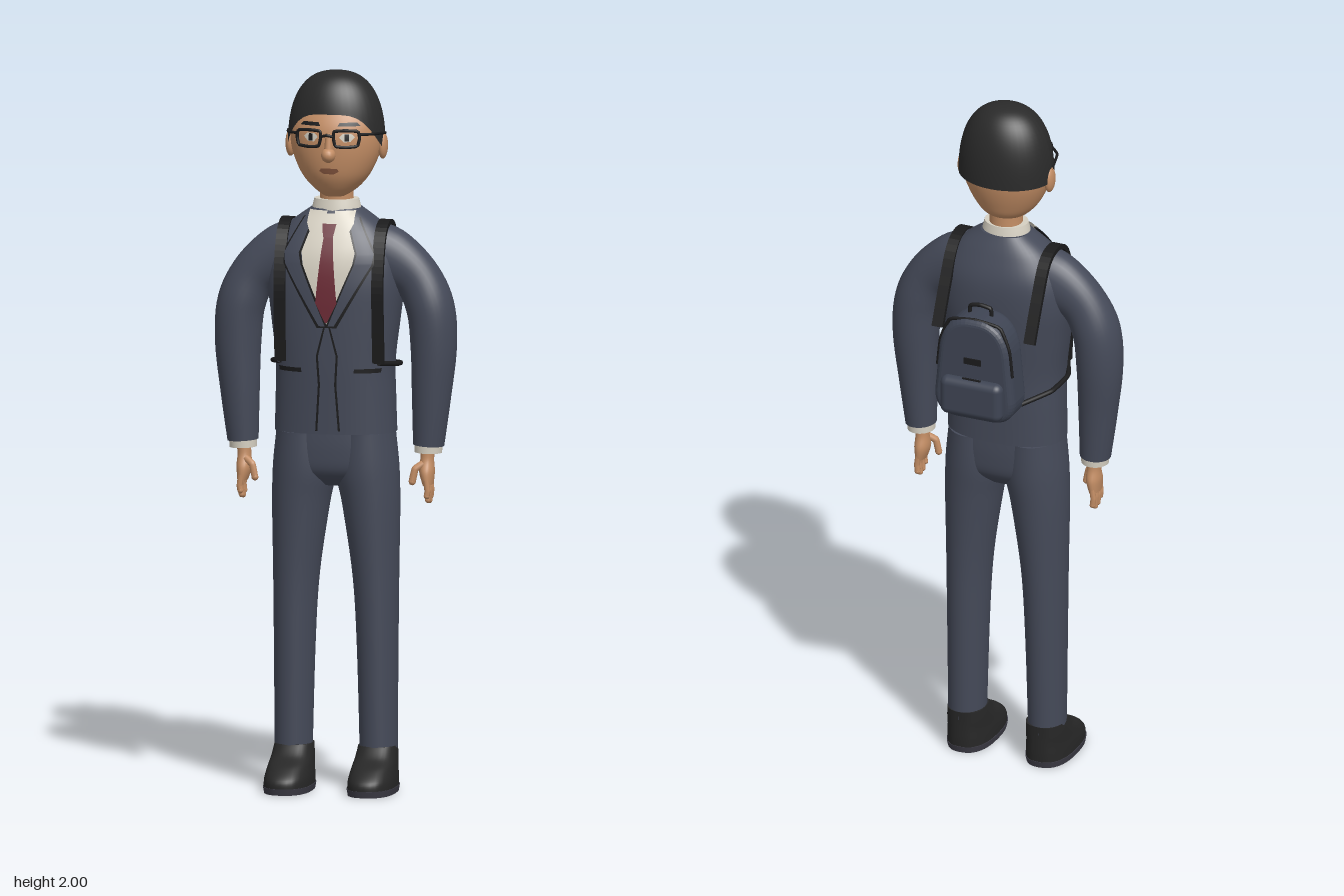
import * as THREE from 'three';
import { RoundedBoxGeometry } from 'three/addons/geometries/RoundedBoxGeometry.js';

const mat = (name, color, side = THREE.FrontSide) => {
  const m = new THREE.MeshStandardMaterial({ color, side });
  m.name = name;
  return m;
};
const M = {
  suit: mat('suit slate', 0x454a59, THREE.DoubleSide),
  pack: mat('backpack slate', 0x3e4453),
  black: mat('black trim', 0x1b1b1c, THREE.DoubleSide),
  hair: mat('hair charcoal', 0x2a2a2a),
  shoe: mat('shoe black', 0x272727),
  sole: mat('sole grey', 0x3d3c46),
  shirt: mat('shirt cream', 0xd6d0c2, THREE.DoubleSide),
  tie: mat('tie maroon', 0x6c2a35, THREE.DoubleSide),
  skin: mat('skin tan', 0xc48e65),
  lip: mat('lip brown', 0x85563f, THREE.DoubleSide),
};

// Smoothly resample stations [x, y, z, halfWidth, halfDepth]
function resample(st, n = 6) {
  const out = [], at = i => st[Math.max(0, Math.min(st.length - 1, i))];
  for (let i = 0; i < st.length - 1; i++)
    for (let k = 0; k < n; k++) {
      const t = k / n;
      out.push(st[i].map((p, c) => {
        const a = at(i - 1)[c], q = at(i + 1)[c], d = at(i + 2)[c];
        return 0.5 * (2 * p + (q - a) * t + (2 * a - 5 * p + 4 * q - d) * t * t + (3 * p - a - 3 * q + d) * t ** 3);
      }));
    }
  out.push(st[st.length - 1]);
  return out;
}

// Superellipse rings swept along a path lying in an XY plane, closed at both ends
function sweep(stations, e = 2, seg = 32) {
  const s = resample(stations), pos = [], idx = [], pw = v => Math.sign(v) * Math.abs(v) ** (2 / e);
  const ring = i => {
    const [x, y, z, a, b] = s[i], p = s[Math.max(0, i - 1)], q = s[Math.min(s.length - 1, i + 1)];
    const tx = q[0] - p[0], ty = q[1] - p[1], l = Math.hypot(tx, ty) || 1;
    for (let j = 0; j < seg; j++) {
      const t = j / seg * Math.PI * 2, u = a * pw(Math.cos(t));
      pos.push(x + u * ty / l, y - u * tx / l, z + b * pw(Math.sin(t)));
    }
  };
  s.forEach((_, i) => ring(i));
  for (let i = 0; i < s.length - 1; i++)
    for (let j = 0; j < seg; j++) {
      const a = i * seg + j, b = i * seg + (j + 1) % seg;
      idx.push(a, a + seg, b, b, a + seg, b + seg);
    }
  for (const i of [0, s.length - 1]) {
    const o = pos.length / 3;
    ring(i);
    pos.push(...s[i].slice(0, 3));
    for (let j = 0; j < seg; j++) {
      const k = o + (j + 1) % seg;
      idx.push(o + seg, ...(i ? [k, o + j] : [o + j, k]));
    }
  }
  return buffer(pos, idx);
}

function buffer(pos, idx) {
  const g = new THREE.BufferGeometry();
  g.setAttribute('position', new THREE.Float32BufferAttribute(pos, 3));
  g.setIndex(idx);
  g.computeVertexNormals();
  return g;
}

// Front surface height z(x, y) of an upright sweep
function frontOf(stations, e) {
  const s = resample(stations);
  return (x, y) => {
    let i = 0;
    while (i < s.length - 2 && s[i + 1][1] < y) i++;
    const t = THREE.MathUtils.clamp((y - s[i][1]) / (s[i + 1][1] - s[i][1]), 0, 1);
    const [, , z, a, b] = s[i].map((v, c) => v + (s[i + 1][c] - v) * t);
    return z + b * (1 - Math.min(Math.abs(x) / a, 0.98) ** e) ** (1 / e);
  };
}

// Thin panel following a front surface; rows are [y, x0, x1] from top to bottom
function panel(surface, rows, off) {
  const pos = [], idx = [], C = 6, R = 5;
  const last = (rows.length - 1) * R;
  for (let r = 0; r <= last; r++) {
    const i = Math.min(Math.floor(r / R), rows.length - 2), t = r / R - i;
    const [y, a, b] = rows[i].map((v, c) => v + (rows[i + 1][c] - v) * t);
    for (let c = 0; c <= C; c++) {
      const x = a + (b - a) * c / C;
      pos.push(x, y, surface(x, y) + off);
      const k = r * (C + 1) + c;
      if (r < last && c < C) idx.push(k, k + C + 1, k + 1, k + 1, k + C + 1, k + C + 2);
    }
  }
  return buffer(pos, idx);
}

const fb = (y, w, zf, zb) => [0, y, (zf + zb) / 2, w, (zf - zb) / 2];
const TORSO = [fb(1, .17, .145, -.068), fb(1.1, .167, .15, -.07), fb(1.2, .166, .155, -.072), fb(1.32, .18, .158, -.08),
  fb(1.42, .19, .157, -.085), fb(1.5, .178, .145, -.08), fb(1.57, .135, .115, -.055), fb(1.62, .07, .085, -.03)];
const HEAD = [fb(1.655, .03, .085, .02), fb(1.68, .066, .108, -.03), fb(1.72, .098, .128, -.052), fb(1.78, .123, .138, -.07),
  fb(1.84, .129, .137, -.075), fb(1.89, .118, .118, -.066), fb(1.94, .085, .085, -.03), fb(1.975, .03, .05, .01)];

// Cap of hair whose lower edge rises towards the forehead
function hairGeometry() {
  const g = new THREE.SphereGeometry(1, 40, 20, 0, Math.PI * 2, 0, Math.PI / 2), p = g.attributes.position;
  for (let i = 0; i < p.count; i++) {
    const h = p.getY(i), l = Math.hypot(p.getX(i), p.getZ(i)) || 1;
    const c = p.getX(i) / l, s = p.getZ(i) / l;
    const low = 1.79 + .1 * THREE.MathUtils.smoothstep(s, .1, 1);
    const y = low + (2 - low) * h;
    const r = Math.max(0, 1 - ((y - 1.785) / .215) ** 2.5) ** .4;
    p.setXYZ(i, .136 * r * c, y, .03 + .112 * r * s);
  }
  g.computeVertexNormals();
  return g;
}

// Rounded, top-narrowed outline for the backpack
function packShape(w, wt, y0, y1, r) {
  const s = new THREE.Shape();
  s.moveTo(-w + r, y0).lineTo(w - r, y0).quadraticCurveTo(w, y0, w, y0 + r);
  s.lineTo(wt + .012, y1 - r * 1.6).quadraticCurveTo(wt, y1, wt - r * 1.3, y1);
  s.lineTo(-wt + r * 1.3, y1).quadraticCurveTo(-wt, y1, -wt - .012, y1 - r * 1.6);
  s.lineTo(-w, y0 + r).quadraticCurveTo(-w, y0, -w + r, y0);
  return s;
}

// Flat strap: side profile points [z, y] given thickness, extruded across x
function strapGeometry(pts, w, t) {
  const c = new THREE.SplineCurve(pts.map(p => new THREE.Vector2(...p))), a = [], b = [];
  for (let i = 0; i <= 40; i++) {
    const p = c.getPoint(i / 40), d = c.getTangent(i / 40);
    a.push(new THREE.Vector2(-p.x + d.y * t / 2, p.y + d.x * t / 2));
    b.unshift(new THREE.Vector2(-p.x - d.y * t / 2, p.y - d.x * t / 2));
  }
  const g = new THREE.ExtrudeGeometry(new THREE.Shape([...a, ...b]), { depth: w, bevelEnabled: false });
  return g.translate(0, 0, -w / 2).rotateY(Math.PI / 2);
}

const tube = (pts, r, closed = false) => new THREE.TubeGeometry(
  new THREE.CatmullRomCurve3(pts.map(p => new THREE.Vector3(...p)), closed, 'catmullrom', .2), 40, r, 8, closed);

export function createModel() {
  const root = new THREE.Group();
  const add = (name, geo, m, x = 0, y = 0, z = 0) => {
    const o = new THREE.Mesh(geo, m);
    o.name = name;
    o.position.set(x, y, z);
    root.add(o);
    return o;
  };
  const chest = frontOf(TORSO, 2.4), face = frontOf(HEAD, 2);

  // Jacket, shirt front and tie
  add('jacket', sweep(TORSO, 2.4, 48), M.suit);
  add('hips', sweep([[0, 1.03, .037, .164, .1], [0, .95, .037, .168, .1], [0, .89, .037, .165, .09], [0, .85, .037, .1, .05]], 2.3), M.suit);
  add('shirtFront', panel(chest, [[1.61, -.05, .05], [1.54, -.08, .08], [1.45, -.066, .066], [1.3, -.004, .004]], .007), M.shirt);
  add('tieKnot', panel(chest, [[1.585, -.02, .02], [1.55, -.014, .014]], .02), M.tie);
  add('tie', panel(chest, [[1.55, -.013, .013], [1.37, -.03, .03], [1.315, -.003, .003]], .016), M.tie);
  add('collar', sweep([[0, 1.59, .03, .072, .062], [0, 1.62, .03, .068, .057], [0, 1.645, .03, .062, .052]]), M.shirt);

  // Head
  add('neck', sweep([[0, 1.6, .028, .05, .046], [0, 1.66, .028, .046, .046], [0, 1.72, .03, .05, .05]]), M.skin);
  add('head', sweep(HEAD, 2, 40), M.skin);
  add('hair', hairGeometry(), M.hair);
  add('nose', new THREE.SphereGeometry(1, 16, 12), M.skin, 0, 1.778, .14).scale.set(.02, .021, .025);
  add('noseBridge', sweep([[0, 1.775, .136, .014, .02], [0, 1.84, .13, .009, .014]], 2, 16), M.skin);
  add('mouth', panel(face, [[1.74, -.022, .022], [1.732, -.028, .028], [1.724, -.014, .014]], .003), M.lip);
  add('glassesBridge', tube([[-.018, 1.832, .158], [0, 1.836, .162], [.018, 1.832, .158]], .004), M.black);

  for (const s of [1, -1]) {
    const side = s > 0 ? 'left' : 'right';
    const put = (name, ...rest) => add(side + name, ...rest);
    const mir = rows => rows.map(([y, a, b]) => [y, s * a, s * b]);
    const pts = list => list.map(([x, ...r]) => [s * x, ...r]);

    // Face details and glasses
    put('Ear', new THREE.SphereGeometry(1, 16, 12), M.skin, s * .13, 1.795, .03).scale.set(.014, .038, .024);
    put('Eye', panel(face, mir([[1.838, .04, .062], [1.828, .03, .072], [1.815, .042, .06]]), .003), M.shirt);
    put('Pupil', panel(face, mir([[1.837, .045, .057], [1.817, .045, .057]]), .005), M.black);
    put('Brow', panel(face, mir([[1.868, .03, .075], [1.858, .024, .085]]), .004), M.black);
    put('LensFrame', tube(pts([[.02, 1.847, .158], [.05, 1.85, .155], [.084, 1.847, .142], [.088, 1.828, .14],
      [.082, 1.806, .142], [.05, 1.803, .155], [.024, 1.806, .158], [.018, 1.828, .158]]), .0045, true), M.black);
    put('GlassesArm', tube(pts([[.086, 1.838, .141], [.12, 1.836, .105], [.137, 1.83, .03]]), .004), M.black);

    // Lapels, front edge and pocket with dark edging
    put('CollarWing', panel(chest, mir([[1.618, .01, .065], [1.585, .018, .066], [1.55, .045, .05]]), .014), M.shirt);
    put('LapelEdge', panel(chest, mir([[1.6, .044, .08], [1.505, .076, .131], [1.475, .07, .128], [1.3, -.004, .028]]), .009), M.black);
    put('Lapel', panel(chest, mir([[1.6, .05, .076], [1.505, .082, .126], [1.475, .075, .122], [1.305, .004, .021]]), .012), M.suit);
    put('FrontEdge', panel(chest, mir([[1.3, .005, .01], [1.22, .025, .031], [1.14, .02, .026], [1.01, .029, .035]]), .005), M.black);
    put('PocketFlap', panel(chest, mir([[1.185, .075, .145], [1.173, .073, .143]]), .005), M.black);

    // Sleeve and cuff
    put('Sleeve', sweep(pts([[.07, 1.51, .035, .085, .075], [.15, 1.482, .036, .086, .066], [.225, 1.432, .038, .068, .062],
      [.266, 1.35, .04, .067, .07], [.276, 1.24, .04, .064, .068], [.27, 1.1, .042, .054, .057], [.262, .965, .042, .043, .046]])), M.suit);
    put('Cuff', sweep(pts([[.262, .975, .042, .039, .042], [.261, .945, .042, .038, .041]])), M.shirt);

    // Hand
    put('Palm', sweep(pts([[.26, .96, .042, .02, .022], [.258, .925, .042, .019, .023], [.258, .89, .044, .021, .034],
      [.262, .855, .046, .014, .033]]), 2, 20), M.skin);
    for (let i = 0; i < 4; i++) {
      const drop = [.01, 0, .003, .016][i], z = .02 + i * .0175;
      put('Finger' + (i + 1), tube(pts([[.261, .87, z], [.265, .84, z], [.263, .81 + drop, z]]), .0085), M.skin);
      put('Fingertip' + (i + 1), new THREE.SphereGeometry(.0085, 10, 8), M.skin, s * .263, .81 + drop, z);
    }
    put('Thumb', tube(pts([[.25, .915, .06], [.23, .9, .07], [.222, .865, .072]]), .01), M.skin);
    put('ThumbTip', new THREE.SphereGeometry(.01, 10, 8), M.skin, s * .222, .865, .072);

    // Trouser leg and shoe
    put('TrouserLeg', sweep(pts([[.086, 1.0, .037, .08, .1], [.088, .9, .037, .088, .1], [.099, .8, .037, .08, .093],
      [.112, .6, .037, .064, .08], [.117, .4, .037, .057, .072], [.12, .1, .037, .052, .062]])), M.suit);
    put('Shoe', sweep(pts([[.118, .014, .1, .065, .124], [.118, .04, .097, .064, .122], [.118, .07, .078, .06, .103],
      [.118, .095, .053, .057, .078], [.118, .125, .036, .053, .062]]), 2.5), M.shoe);
    put('Sole', sweep(pts([[.118, 0, .1, .064, .122], [.118, .018, .1, .067, .126]]), 2.5), M.sole);

    // Backpack straps
    const front = [1.5, 1.42, 1.34, 1.26, 1.2].map(y => [chest(.14, y) + .01, y]);
    put('ShoulderStrap', strapGeometry([[-.13, 1.36], [-.075, 1.475], [-.025, 1.56], [.035, 1.582], [.09, 1.56], ...front], .032, .014),
      M.black, s * .138);
    put('LowerStrap', tube(pts([[.14, 1.2, .13], [.176, 1.19, .05], [.165, 1.18, -.04], [.112, 1.17, -.13]]), .007), M.black);
  }

  // Backpack
  const bevel = { bevelThickness: .025, bevelSize: .02, bevelSegments: 5, curveSegments: 10 };
  add('packBody', new THREE.ExtrudeGeometry(packShape(.1, .075, 1.15, 1.42, .05), { depth: .055, ...bevel }), M.pack, 0, 0, -.182);
  add('packPocket', new RoundedBoxGeometry(.185, .115, .055, 4, .022), M.pack, 0, 1.205, -.205);
  add('packZip', tube([[-.112, 1.28, -.19], [-.103, 1.36, -.19], [-.075, 1.425, -.19], [0, 1.436, -.19], [.075, 1.425, -.19],
    [.103, 1.36, -.19], [.112, 1.28, -.19]], .005), M.black);
  add('packPatch', new THREE.BoxGeometry(.05, .018, .006), M.black, 0, 1.315, -.208);
  add('pocketZip', new THREE.BoxGeometry(.055, .005, .006), M.black, 0, 1.262, -.215);
  add('packHandle', tube([[-.033, 1.43, -.15], [-.03, 1.458, -.15], [0, 1.464, -.15], [.03, 1.458, -.15], [.033, 1.43, -.15]], .006), M.black);
  return root;
}
